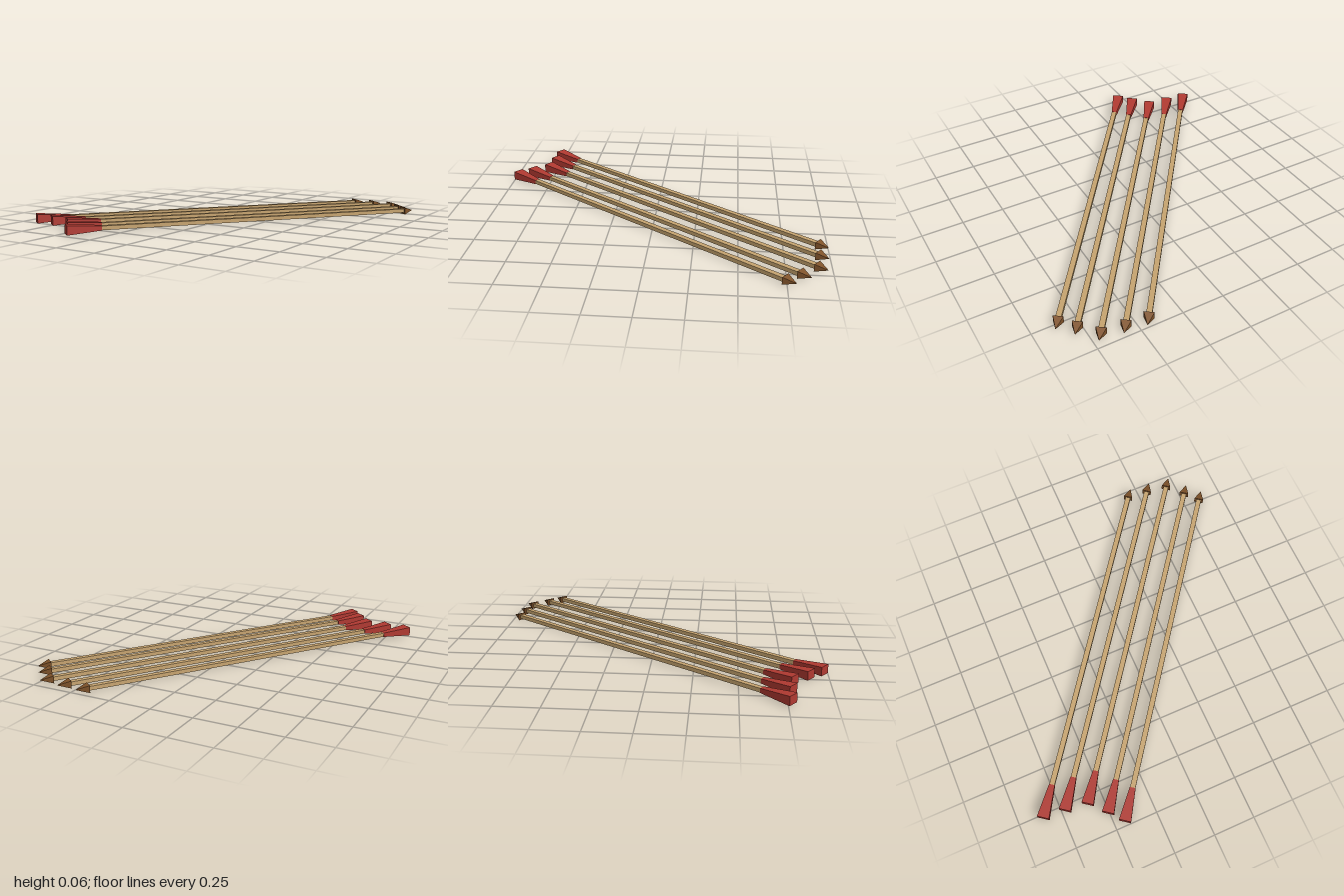
import * as THREE from 'three';

const LENGTH = 2.215, FLATTEN = 0.76;

const paint = (color) => new THREE.MeshStandardMaterial({ color, flatShading: true });

// Four-sided tapered bar along +z, slightly flattened in height
function taperedBar(name, startWidth, endWidth, z0, z1, material) {
  const geometry = new THREE.CylinderGeometry(endWidth * Math.SQRT1_2, startWidth * Math.SQRT1_2, z1 - z0, 4);
  geometry.rotateY(Math.PI / 4);
  geometry.rotateX(Math.PI / 2);
  geometry.scale(1, FLATTEN, 1);
  geometry.translate(0, 0, (z0 + z1) / 2);
  const mesh = new THREE.Mesh(geometry, material);
  mesh.name = name;
  return mesh;
}

export function createModel() {
  const model = new THREE.Group();
  model.name = 'arrowBundle';
  const wood = paint(0xc8a570), red = paint(0xb23a32), brown = paint(0x80532a);

  // Tip positions (x, z) of the parallel arrows
  const tips = [[0.465, -1], [0.595, -0.99], [0.728, -0.972], [0.815, -0.878], [0.885, -0.797]];
  tips.forEach(([x, z], i) => {
    const arrow = new THREE.Group();
    arrow.name = `arrow${i + 1}`;
    arrow.add(
      taperedBar('fletching', 0.07, 0.034, 0, 0.195, red),
      taperedBar('shaft', 0.031, 0.031, 0.02, LENGTH - 0.06, wood),
      taperedBar('arrowhead', 0.057, 0, LENGTH - 0.072, LENGTH, brown)
    );
    // Tail sits a little higher than the tip
    arrow.position.set(x - 1.324, 0.035, z + 1.775);
    arrow.lookAt(x, 0.022, z);
    model.add(arrow);
  });
  return model;
}
